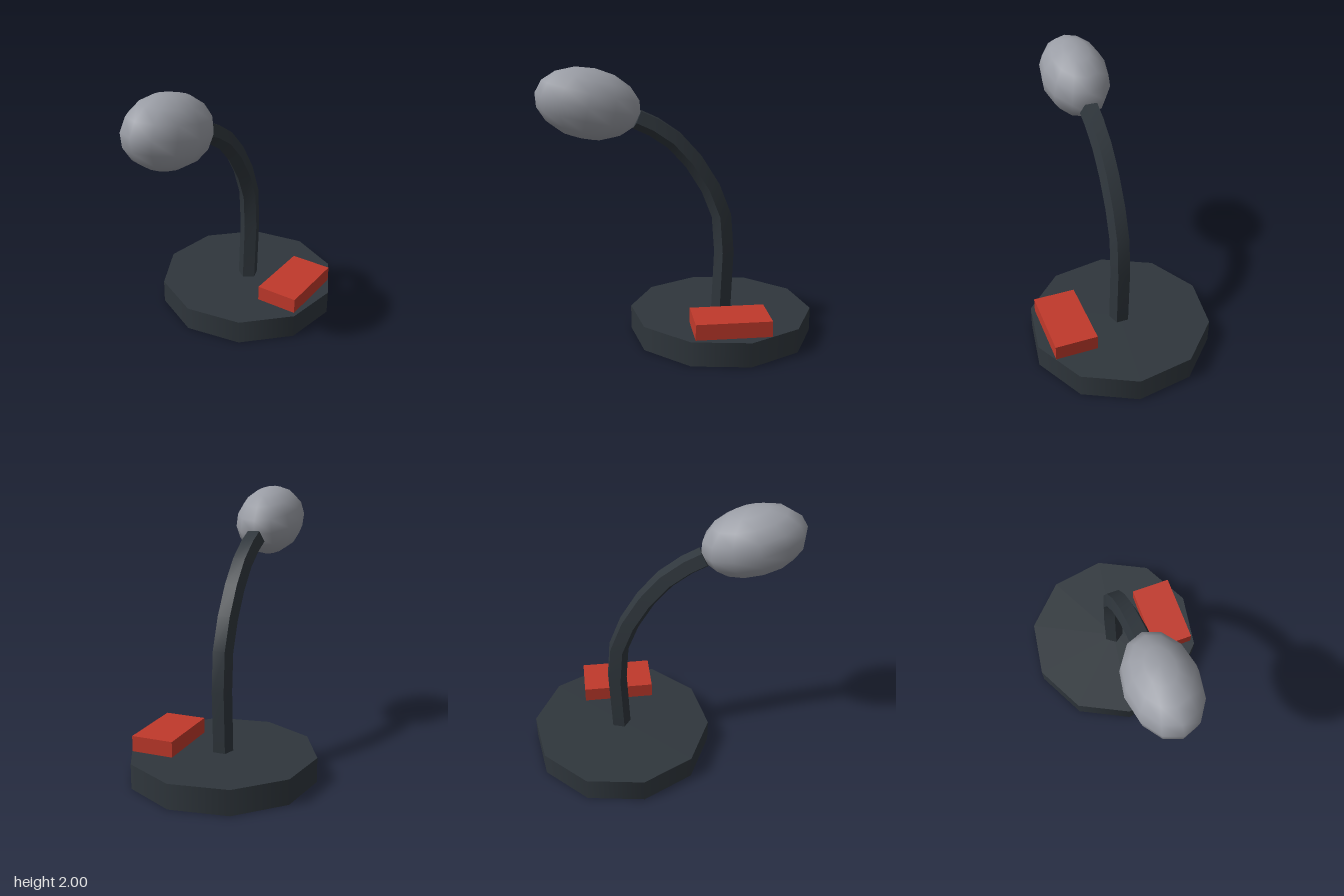
import * as THREE from 'three';
import { toCreasedNormals } from 'three/addons/utils/BufferGeometryUtils.js';

const darkSlate = new THREE.MeshStandardMaterial({ name: 'darkSlate', color: 0x2f363c });
const red = new THREE.MeshStandardMaterial({ name: 'red', color: 0xc0392b });
const grey = new THREE.MeshStandardMaterial({ name: 'grey', color: 0x9a9da5 });

function add(group, name, geometry, material, x, y, z) {
  const mesh = new THREE.Mesh(geometry, material);
  mesh.name = name;
  mesh.position.set(x, y, z);
  group.add(mesh);
  return mesh;
}

// Five-sided arm swept along [z, y] stations, one corner on the inside of the bend
function armGeometry(path, radius) {
  const sides = 5, position = [], index = [];
  path.forEach(([z, y], i) => {
    const a = path[Math.max(i - 1, 0)], b = path[Math.min(i + 1, path.length - 1)];
    const dz = b[0] - a[0], dy = b[1] - a[1], len = Math.hypot(dz, dy);
    for (let k = 0; k < sides; k++) {
      const t = (k / sides) * Math.PI * 2;
      const inward = radius * Math.cos(t);
      position.push(radius * Math.sin(t), y - (inward * dz) / len, z + (inward * dy) / len);
    }
  });
  for (let i = 0; i < path.length - 1; i++) {
    for (let k = 0; k < sides; k++) {
      const p = i * sides + k, q = i * sides + ((k + 1) % sides);
      index.push(p, q, q + sides, p, q + sides, p + sides);
    }
  }
  // End caps
  const last = (path.length - 1) * sides;
  for (let k = 1; k < sides - 1; k++) {
    index.push(0, k + 1, k, last, last + k, last + k + 1);
  }
  const geometry = new THREE.BufferGeometry();
  geometry.setAttribute('position', new THREE.Float32BufferAttribute(position, 3));
  geometry.setIndex(index);
  return toCreasedNormals(geometry, Math.PI / 4);
}

export function createModel() {
  const model = new THREE.Group();
  model.name = 'deskLamp';

  // Ten-sided base
  const base = new THREE.CylinderGeometry(0.68, 0.68, 0.18, 10);
  base.rotateY(THREE.MathUtils.degToRad(27.3));
  add(model, 'base', base, darkSlate, 0, 0.09, -0.325);

  // Switch block on the left of the base
  add(model, 'switch', new THREE.BoxGeometry(0.315, 0.115, 0.54), red, 0.428, 0.2375, -0.325);

  // Curved arm
  const path = [
    [-0.332, 0.17], [-0.35, 0.63], [-0.328, 0.91], [-0.244, 1.123],
    [-0.121, 1.32], [0.02, 1.475], [0.169, 1.577], [0.288, 1.632],
  ];
  add(model, 'arm', armGeometry(path, 0.077), darkSlate, 0, 0, 0);

  // Egg-shaped head, tilted up at the front
  const head = add(model, 'head', new THREE.SphereGeometry(1, 12, 8), grey, 0, 1.743, 0.63);
  head.scale.set(0.247, 0.25, 0.375);
  head.rotation.x = -0.22;

  return model;
}
